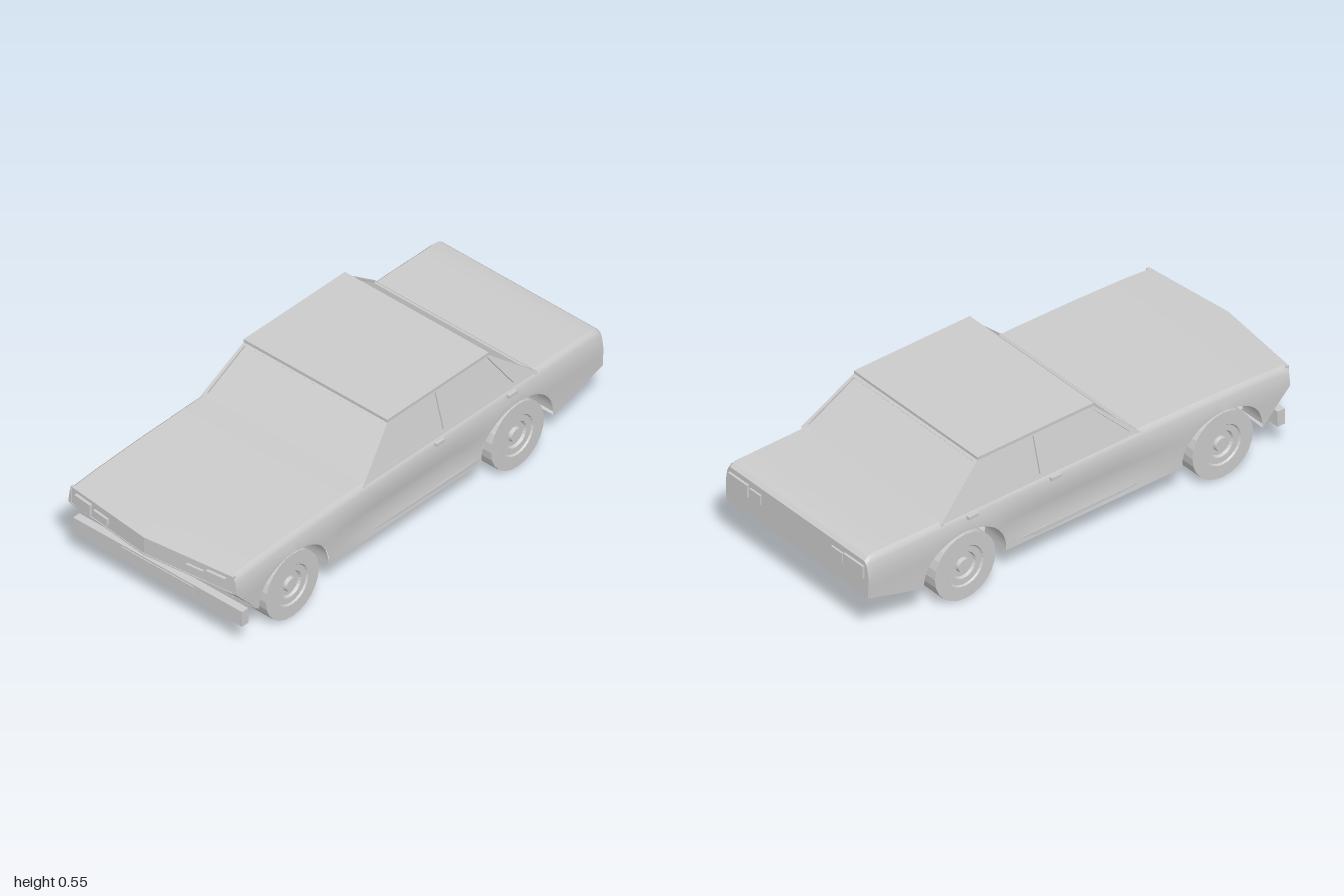
import * as THREE from 'three';
import { toCreasedNormals } from 'three/addons/utils/BufferGeometryUtils.js';

const V = (x, y, z) => new THREE.Vector3(x, y, z);
const grey = new THREE.MeshStandardMaterial({ color: 0xcccccc, side: THREE.DoubleSide });
const flat = new THREE.MeshStandardMaterial({ color: 0xcccccc, flatShading: true });
const AXLES = [0.65, -0.54], ARCH = 0.19;

// piecewise linear lookup
function lerpTable(t, v) {
  if (v <= t[0][0]) return t[0][1];
  for (let i = 1; i < t.length; i++) {
    const [a, p] = t[i - 1], [b, q] = t[i];
    if (v <= b) return p + (q - p) * (v - a) / (b - a);
  }
  return t[t.length - 1][1];
}

const topLine = z => lerpTable([[-0.99, 0.352], [-0.975, 0.365], [-0.94, 0.37], [0.3, 0.372], [0.6, 0.367], [0.85, 0.358], [1, 0.349]], z);

const archLine = (z, c) => 0.14 + 0.155 * Math.sqrt(Math.max(0, 1 - ((z - c) / ARCH) ** 2));

function bottomLine(z) {
  const y = lerpTable([[-0.99, 0.2], [-0.73, 0.125], [0.46, 0.125], [0.84, 0.137], [1, 0.27]], z);
  const c = AXLES.find(a => Math.abs(z - a) < ARCH - 1e-6);
  return c === undefined ? y : archLine(z, c);
}

// body section: row heights from sill to shoulder, side 's' is -1 or 1
const ROWS = [0, 0.16, 0.2, 0.25, 0.3, 0.345, 0.361, 0.372];
function bodyPoint(z, k, s) {
  const drop = 0.372 - topLine(z);
  const y = Math.max(bottomLine(z), ROWS[k] - drop);
  const mid = lerpTable([[-0.42, 0], [-0.2, 1], [0.2, 1], [0.45, 0]], z);
  const x = lerpTable([[0.12, 0.403], [0.2, 0.404 - 0.014 * mid], [0.3, 0.409 - 0.003 * mid],
    [0.345, 0.402], [0.361, 0.396], [0.372, 0.384]], y + drop) - lerpTable([[-0.9, 0.006], [0.6, 0]], z);
  const sweep = 0.045 * THREE.MathUtils.clamp((z - 0.8) / 0.2, 0, 1);
  return V(s * x, y, z - sweep * x / 0.4);
}

// surface through a grid of points
function skin(name, grid, crease = 0.5) {
  const n = grid[0].length, index = [];
  for (let i = 0; i < grid.length - 1; i++) for (let j = 0; j < n - 1; j++) {
    const a = i * n + j, b = a + n;
    index.push(a, b, a + 1, b, b + 1, a + 1);
  }
  const g = new THREE.BufferGeometry().setFromPoints(grid.flat());
  g.setIndex(index);
  const mesh = new THREE.Mesh(toCreasedNormals(g, crease), grey);
  mesh.name = name;
  return mesh;
}

// box given by its limits
function box(name, x0, x1, y0, y1, z0, z1) {
  const mesh = new THREE.Mesh(new THREE.BoxGeometry(x1 - x0, y1 - y0, z1 - z0), flat);
  mesh.position.set((x0 + x1) / 2, (y0 + y1) / 2, (z0 + z1) / 2);
  mesh.name = name;
  return mesh;
}

// planar wall with window openings and glass set back in them
function glazedWall(name, corners, windows, depth = 0.012) {
  const group = new THREE.Group();
  group.name = name;
  const o = corners[0];
  const u = corners[1].clone().sub(o).normalize();
  const n = u.clone().cross(corners[3].clone().sub(o)).normalize();
  const center = corners.reduce((a, c) => a.add(c), V(0, 0, 0)).divideScalar(4);
  if (n.dot(center.sub(V(0, 0.4, -0.18))) < 0) n.negate();
  const v = n.clone().cross(u);
  const plane = p => { const d = p.clone().sub(o); return new THREE.Vector2(d.dot(u), d.dot(v)); };
  const shape = new THREE.Shape(corners.map(plane));
  shape.holes = windows.map(w => new THREE.Path(w.map(plane)));
  const basis = new THREE.Matrix4().makeBasis(u, v, n).setPosition(o);
  const add = (part, g, z) => {
    const mesh = new THREE.Mesh(g.translate(0, 0, z).applyMatrix4(basis), grey);
    mesh.name = part;
    group.add(mesh);
  };
  add('pillars', new THREE.ExtrudeGeometry(shape, { depth, bevelEnabled: false }), -depth);
  windows.forEach(w => add('glass', new THREE.ShapeGeometry(new THREE.Shape(w.map(plane))), -depth * 0.6));
  return group;
}

function createBody() {
  const body = new THREE.Group();
  body.name = 'body';
  const zs = [-0.99, -0.983, -0.975, -0.955, -0.94, -0.85, -0.2, -0.05, 0.1, 0.2, 0.3, 0.4, 0.88, 0.92, 0.96, 1];
  for (const c of AXLES) for (let i = 0; i <= 24; i++) zs.push(c + ARCH * Math.cos(Math.PI * i / 24));
  zs.sort((a, b) => a - b);
  const ks = ROWS.map((_, k) => k);
  body.add(skin('bodyShell', zs.map(z => [
    ...ks.map(k => bodyPoint(z, k, -1)),
    V(0, topLine(z), z),
    ...ks.map(k => bodyPoint(z, k, 1)).reverse()])));

  // closing panels
  const across = (z, k) => { const p = bodyPoint(z, k, 1); return [V(-p.x, p.y, p.z), V(0, p.y, z), p]; };
  body.add(skin('nosePanel', ks.map(k => across(1, k)).reverse(), 0.1));
  body.add(skin('tailPanel', ks.map(k => across(-0.99, k))));
  body.add(skin('frontValance', [1, 0.92, 0.84].map(z => across(z, 0)), 0.1));
  body.add(skin('rearUnderside', [-0.73, -0.99].map(z => across(z, 0))));

  // floor and wheel arch liners
  body.add(box('floor', -0.398, 0.398, 0.125, 0.15, -0.35, 0.46));
  body.add(box('floorSpine', -0.28, 0.28, 0.125, 0.15, -0.73, 0.84));
  for (const c of AXLES) for (const s of [-1, 1]) {
    const arc = [];
    for (let i = 0; i <= 24; i++) {
      const z = c + ARCH * Math.cos(Math.PI * i / 24), y = archLine(z, c);
      arc.push([V(s * 0.28, y, z), V(s * 0.398, y, z)]);
    }
    body.add(skin('archLiner', arc));
  }
  return body;
}

function createCabin() {
  const cabin = new THREE.Group();
  cabin.name = 'cabin';
  const y0 = 0.365, y1 = 0.535;
  const t = y => (y - y0) / (y1 - y0);
  const wide = y => 0.395 - 0.047 * t(y);
  const front = y => 0.272 - 0.182 * t(y);
  const rear = y => -0.65 + 0.21 * t(y);
  const lo = 0.38, hi = 0.526;

  for (const s of [-1, 1]) {
    const p = (y, z) => V(s * wide(y), y, z);
    cabin.add(glazedWall('cabinSide', [p(y0, front(y0)), p(y0, rear(y0)), p(y1, rear(y1)), p(y1, front(y1))], [
      [p(lo, front(lo) - 0.025), p(lo, -0.16), p(hi, -0.16), p(hi, front(hi) - 0.015)],
      [p(lo, -0.185), p(lo, -0.53), p(hi, -0.435), p(hi, -0.185)]]));
  }
  for (const [name, edge] of [['windshieldWall', front], ['rearWindowWall', rear]]) {
    const p = (y, s, inset = 0) => V(s * (wide(y) - inset), y, edge(y));
    cabin.add(glazedWall(name, [p(y0, -1), p(y0, 1), p(y1, 1), p(y1, -1)],
      [[p(lo, -1, 0.014), p(lo, 1, 0.014), p(hi, 1, 0.012), p(hi, -1, 0.012)]]));
  }
  cabin.add(box('roof', -0.349, 0.349, 0.532, 0.545, -0.442, 0.094));
  return cabin;
}

// wheel turned around its axle, outer face towards +x
function createWheel() {
  const profile = [[0, 0], [0.14, 0], [0.14, 0.103], [0.085, 0.103], [0.08, 0.096], [0.055, 0.096],
    [0.05, 0.085], [0.03, 0.085], [0.027, 0.1], [0, 0.1]].map(([r, h]) => new THREE.Vector2(r, h));
  const wheel = new THREE.Mesh(new THREE.LatheGeometry(profile, 24).rotateZ(-Math.PI / 2), flat);
  wheel.name = 'wheel';
  return wheel;
}

export function createModel() {
  const car = new THREE.Group();
  car.name = 'car';
  car.add(createBody(), createCabin());

  for (const z of AXLES) for (const s of [-1, 1]) {
    const wheel = createWheel();
    wheel.position.set(s * 0.296, 0.14, z);
    if (s < 0) wheel.rotation.y = Math.PI;
    car.add(wheel);
  }

  car.add(box('frontBumper', -0.41, 0.41, 0.116, 0.182, 0.895, 0.928));
  car.add(box('numberPlate', -0.175, 0.175, 0.13, 0.175, 0.925, 0.932));

  for (const s of [-1, 1]) {
    // headlamps and nose trim follow the swept front
    const nose = new THREE.Group();
    nose.name = 'noseTrim';
    nose.position.z = 1;
    nose.rotation.y = s * Math.atan(0.045 / 0.4);
    const span = (a, b) => s > 0 ? [a, b] : [-b, -a];
    nose.add(box('headlamp', ...span(0.282, 0.366), 0.286, 0.332, -0.01, 0.012));
    nose.add(box('innerLamp', ...span(0.192, 0.266), 0.292, 0.32, -0.01, 0.01));
    nose.add(box('trimTop', ...span(0, 0.398), 0.344, 0.349, -0.01, 0.003));
    nose.add(box('trimBottom', ...span(0, 0.398), 0.27, 0.275, -0.01, 0.003));
    nose.add(box('trimEnd', ...span(0.393, 0.398), 0.27, 0.349, -0.01, 0.003));
    car.add(nose);

    car.add(box('tailLamp', ...span(0.272, 0.38), 0.278, 0.332, -1, -0.98));
    car.add(box('reverseLamp', ...span(0.2, 0.262), 0.285, 0.325, -0.998, -0.98));
    for (const z of [-0.125, -0.508])
      car.add(box('doorHandle', ...span(0.39, 0.409), 0.341, 0.354, z - 0.023, z + 0.023));
  }
  return car;
}
